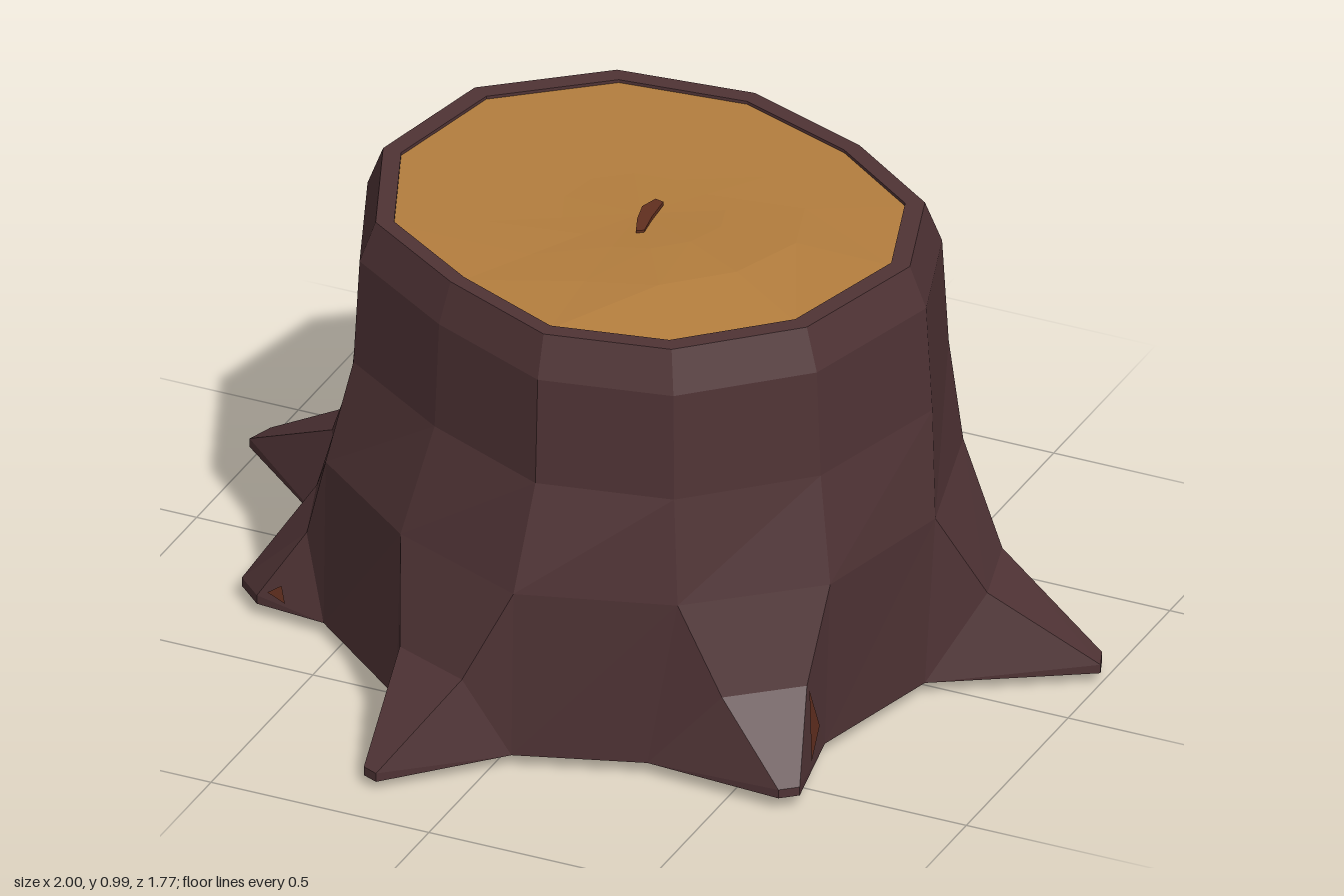
import * as THREE from 'three';

const bark = new THREE.MeshStandardMaterial({ color: 0x4f3335 });
bark.name = 'dark bark';
const wood = new THREE.MeshStandardMaterial({ color: 0xb47e3e });
wood.name = 'cut wood';
const rust = new THREE.MeshStandardMaterial({ color: 0x612f1f });
rust.name = 'red-brown heartwood';

// Trunk corners [x, z], clockwise from the back as seen from above
const TOP = [[-0.26, -0.49], [0.02, -0.52], [0.29, -0.42], [0.5, -0.27], [0.58, -0.03], [0.5, 0.27],
  [0.3, 0.46], [0.05, 0.51], [-0.2, 0.4], [-0.43, 0.25], [-0.54, -0.02], [-0.48, -0.31]];
const WAIST = [[-0.31, -0.57], [0.03, -0.63], [0.35, -0.52], [0.61, -0.32], [0.7, 0.01], [0.62, 0.355],
  [0.37, 0.57], [0.04, 0.67], [-0.28, 0.54], [-0.55, 0.33], [-0.65, -0.01], [-0.54, -0.36]];
const FOOT = [[-0.31, -0.55], [0.08, -0.65], [0.32, -0.57], [0.6, -0.33], [0.69, 0.04], [0.61, 0.36],
  [0.31, 0.59], [0.04, 0.68], [-0.28, 0.56], [-0.55, 0.34], [-0.65, 0.03], [-0.51, -0.36]];
// Roots: the panel each grows from, its two tip corners and its lowest height
const ROOTS = [
  { panel: 1, a: [0.26, -0.89], b: [0.32, -0.87], y: 0.025 },
  { panel: 3, a: [0.98, -0.21], b: [1.0, -0.16], y: 0.025 },
  { panel: 5, a: [0.655, 0.58], b: [0.62, 0.61], y: 0.03 },
  { panel: 7, a: [-0.175, 0.885], b: [-0.21, 0.87], y: 0.02 },
  { panel: 9, a: [-0.71, 0.325], b: [-0.77, 0.27], y: 0.03 },
  { panel: 10, a: [-1.0, -0.26], b: [-0.98, -0.32], y: 0.035 },
  { panel: 11, a: [-0.525, -0.62], b: [-0.48, -0.665], y: 0 },
];
const N = TOP.length;
const BASE_Y = 0.03;

const at = (p, y) => new THREE.Vector3(p[0], y, p[1]);
const scaled = (s, y) => TOP.map(([x, z]) => at([0.02 + (x - 0.02) * s, z * s], y));
const level = (pts, y) => pts.map((p) => at(p, y));

// Flat-faced mesh from a list of triangles and quads
function facets(name, material, faces) {
  const pos = [];
  for (const f of faces) {
    for (let k = 1; k < f.length - 1; k++) {
      for (const v of [f[0], f[k], f[k + 1]]) pos.push(v.x, v.y, v.z);
    }
  }
  const g = new THREE.BufferGeometry();
  g.setAttribute('position', new THREE.Float32BufferAttribute(pos, 3));
  g.computeVertexNormals();
  const mesh = new THREE.Mesh(g, material);
  mesh.name = name;
  return mesh;
}

// Faces between neighbouring closed rings, listed from bottom to top
function bands(rings) {
  const faces = [];
  for (let r = 0; r < rings.length - 1; r++) {
    for (let i = 0; i < N; i++) {
      const j = (i + 1) % N;
      const lo = rings[r], hi = rings[r + 1];
      faces.push([lo[j], lo[i], hi[i]], [lo[j], hi[i], hi[j]]);
    }
  }
  return faces;
}

// Corner points of one root
function rootPoints({ panel, a, b, y }) {
  const j = (panel + 1) % N;
  const P = at(WAIST[panel], 0.41), Q = at(WAIST[j], 0.41);
  const Pb = at(FOOT[panel], BASE_Y), Qb = at(FOOT[j], BASE_Y);
  const Ta = at(a, y + 0.02), Tb = at(b, y + 0.02);
  const Ba = at(a, y), Bb = at(b, y);
  const Ma = P.clone().lerp(Ta, 0.3), Mb = Q.clone().lerp(Tb, 0.3);
  Ma.y = Mb.y = 0.21;
  const centre = Ma.clone().lerp(Mb, 0.5);
  Ma.lerp(centre, 0.25);
  Mb.lerp(centre, 0.25);
  return { P, Q, Pb, Qb, Ta, Tb, Ba, Bb, Ma, Mb };
}

function buildRoot(spec) {
  const { P, Q, Pb, Qb, Ta, Tb, Ba, Bb, Ma, Mb } = rootPoints(spec);
  return facets('root', bark, [
    [Mb, Ma, P, Q], [Tb, Ta, Ma, Mb], [Bb, Ba, Ta, Tb], // ridge and tip
    [Ma, Pb, P], [Ta, Pb, Ma], [Ba, Pb, Ta], // first flank
    [Q, Qb, Mb], [Mb, Qb, Tb], [Tb, Qb, Bb], // second flank
    [Pb, Ba, Bb, Qb], // underside
  ]);
}

// Thin bare patch lying on the first flank of a root, in flank weights
function barePatch(spec, weights) {
  const { Pb, Ma, Ta } = rootPoints(spec);
  const n = Pb.clone().sub(Ta).cross(Ma.clone().sub(Ta)).normalize().multiplyScalar(0.005);
  const pts = weights.map(([u, v, w]) => new THREE.Vector3()
    .addScaledVector(Pb, u).addScaledVector(Ma, v).addScaledVector(Ta, w));
  const out = new THREE.Triangle(Ta, Pb, Ma).getNormal(new THREE.Vector3());
  if (n.dot(out) < 0) n.negate();
  pts.forEach((p) => p.add(n));
  const mesh = facets('barePatch', rust.clone(), [pts]);
  mesh.material = rust;
  // Wind the patch the same way as the flank
  const face = new THREE.Triangle(pts[0], pts[1], pts[2]).getNormal(new THREE.Vector3());
  return face.dot(out) < 0 ? facets('barePatch', rust, [pts.reverse()]) : mesh;
}

export function createModel() {
  const group = new THREE.Group();
  group.name = 'treeStump';

  // Trunk wall, with the rim turned inward at the top
  const waist = level(WAIST, 0.41);
  group.add(facets('trunk', bark, bands([
    waist, scaled(1.165, 0.64), scaled(1.14, 0.88), scaled(1.075, 0.972),
    scaled(1, 0.972), scaled(1, 0.955),
  ])));

  // Lower panels between the roots
  const foot = level(FOOT, BASE_Y);
  const rooted = new Set(ROOTS.map((r) => r.panel));
  const lower = [];
  for (let i = 0; i < N; i++) {
    const j = (i + 1) % N;
    if (!rooted.has(i)) lower.push([foot[j], foot[i], waist[i]], [foot[j], waist[i], waist[j]]);
  }
  group.add(facets('lowerTrunk', bark, lower));

  const roots = new THREE.Group();
  roots.name = 'roots';
  ROOTS.forEach((r) => roots.add(buildRoot(r)));
  group.add(roots);

  group.add(barePatch(ROOTS[2], [[0.02, 0.95, 0.03], [0.6, 0.35, 0.05], [0.35, 0.1, 0.55]]));
  group.add(barePatch(ROOTS[4], [[0.2, 0.25, 0.55], [0.4, 0.05, 0.55], [0.1, 0.1, 0.8]]));

  // Cut face with a gentle swelling
  const swell = (p) => {
    p.y += 0.027 * Math.exp(-((p.x - 0.24) ** 2 + (p.z - 0.2) ** 2) / 0.06);
    return p;
  };
  const rings = [scaled(1, 0.965), ...[0.62, 0.32].map((s) => scaled(s, 0.965).map(swell))];
  const mid = swell(new THREE.Vector3(0.02, 0.965, 0));
  const cut = bands(rings);
  rings[2].forEach((p, i) => cut.push([rings[2][(i + 1) % N], p, mid]));
  group.add(facets('cutFace', wood, cut));

  // Crack at the heart of the cut face
  const crack = new THREE.Shape([[0.03, 0.05], [0.05, 0.045], [0.055, -0.02], [0.065, -0.08],
    [0.05, -0.09], [0.03, -0.04], [0.018, 0.01]].map(([x, y]) => new THREE.Vector2(x, y)));
  const crackMesh = new THREE.Mesh(
    new THREE.ExtrudeGeometry(crack, { depth: 0.009, bevelEnabled: false }), rust);
  crackMesh.name = 'heartCrack';
  crackMesh.rotation.x = -Math.PI / 2;
  crackMesh.position.y = 0.974;
  group.add(crackMesh);

  // Underside and its bare core
  const fan = (ring, y) => ring.map((p, i) => [new THREE.Vector3(0.02, y, 0), p, ring[(i + 1) % N]]);
  group.add(facets('underside', bark, fan(foot, BASE_Y)));
  group.add(facets('undersideCore', rust, fan(scaled(0.74, 0.024), 0.024)));

  return group;
}
